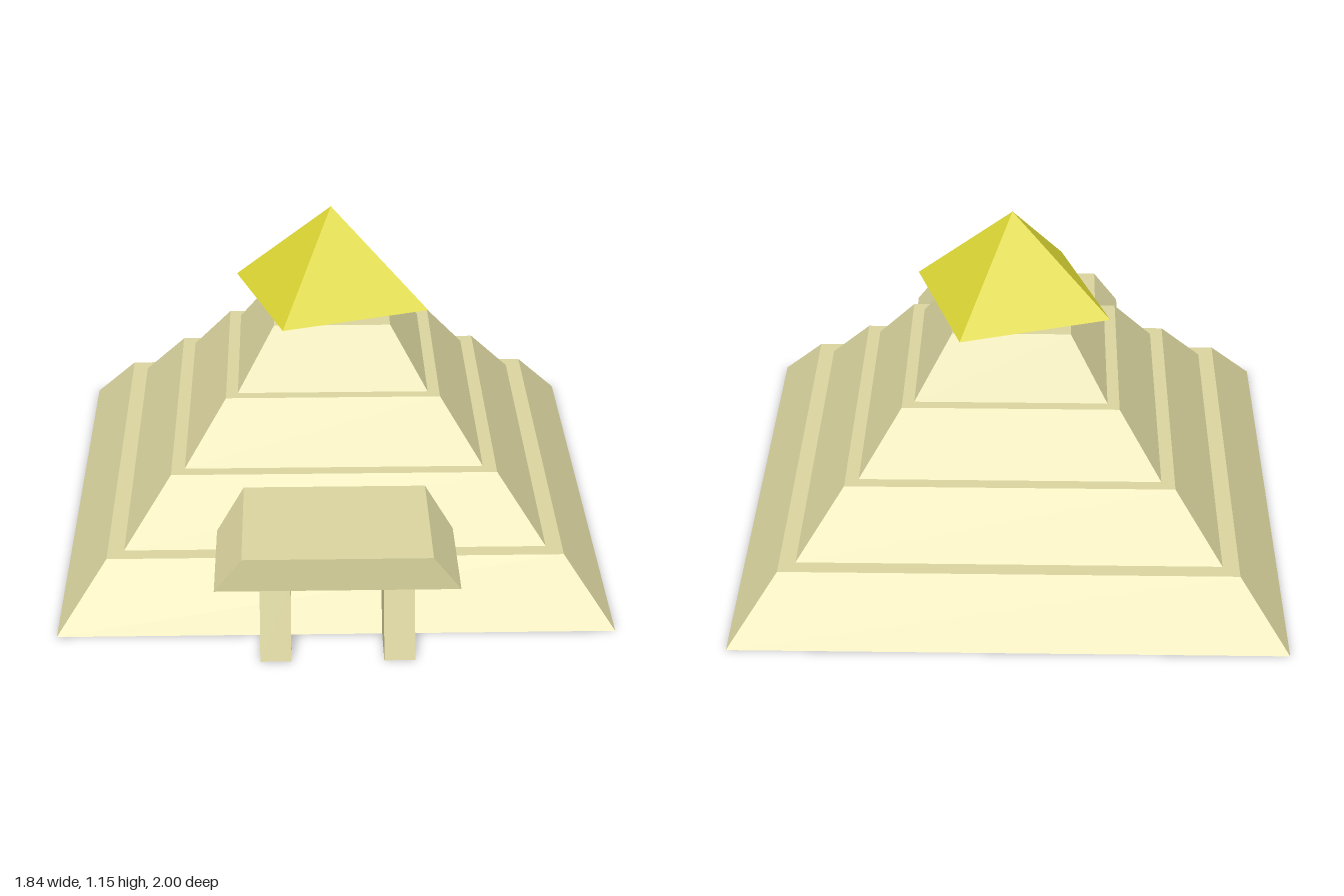
import * as THREE from 'three';

const CENTER_Z = -0.08;

export function createModel() {
  const model = new THREE.Group();
  const stone = new THREE.MeshStandardMaterial({ color: 0xdad49e, flatShading: true });
  const gold = new THREE.MeshStandardMaterial({ color: 0xdcd634, flatShading: true });

  const add = (name, geometry, material, parent = model) => {
    const mesh = new THREE.Mesh(geometry, material);
    mesh.name = name;
    parent.add(mesh);
    return mesh;
  };

  // Extrudes an outline of [x, y] points along z
  const prism = (points, depth) => new THREE.ExtrudeGeometry(
    new THREE.Shape(points.map(([x, y]) => new THREE.Vector2(x, y))),
    { depth, bevelEnabled: false });

  // Stepped body: [bottom half width, top half width, bottom y, top y]
  const body = new THREE.Group();
  body.name = 'steppedBody';
  model.add(body);
  const tiers = [
    [0.92, 0.76, 0, 0.2],
    [0.705, 0.55, 0.2, 0.4],
    [0.505, 0.365, 0.4, 0.595],
    [0.325, 0.2, 0.595, 0.79],
  ];
  tiers.forEach(([bottom, top, y0, y1], i) => {
    const geometry = new THREE.CylinderGeometry(top * Math.SQRT2, bottom * Math.SQRT2, y1 - y0, 4);
    geometry.rotateY(Math.PI / 4);
    add(`tier${i + 1}`, geometry, stone, body).position.set(0, (y0 + y1) / 2, CENTER_Z);
  });

  // Floating capstone, turned against the body
  const capstone = add('capstone', new THREE.ConeGeometry(0.373, 0.32, 4), gold);
  capstone.position.set(0, 0.99, CENTER_Z);
  capstone.rotation.y = 1.1;

  // Entrance: a tapered roof slab running into the body
  const entrance = new THREE.Group();
  entrance.name = 'entrance';
  model.add(entrance);
  const roof = prism([[-0.395, 0.25], [0.395, 0.25], [0.305, 0.365], [-0.305, 0.365]], 0.52);
  add('entranceRoof', roof, stone, entrance).position.z = 0.455;

  // Side walls with a sloped front; the outline is drawn in z, y and turned to run along x
  for (const side of [-1, 1]) {
    const wall = prism([[-1, 0.005], [-0.6, 0.005], [-0.55, 0.25], [-0.925, 0.25]], 0.1);
    wall.translate(0, -0.005, -0.05);
    wall.rotateY(Math.PI / 2);
    add(side > 0 ? 'leftEntranceWall' : 'rightEntranceWall', wall, stone, entrance).position.x = side * 0.2;
  }

  return model;
}
